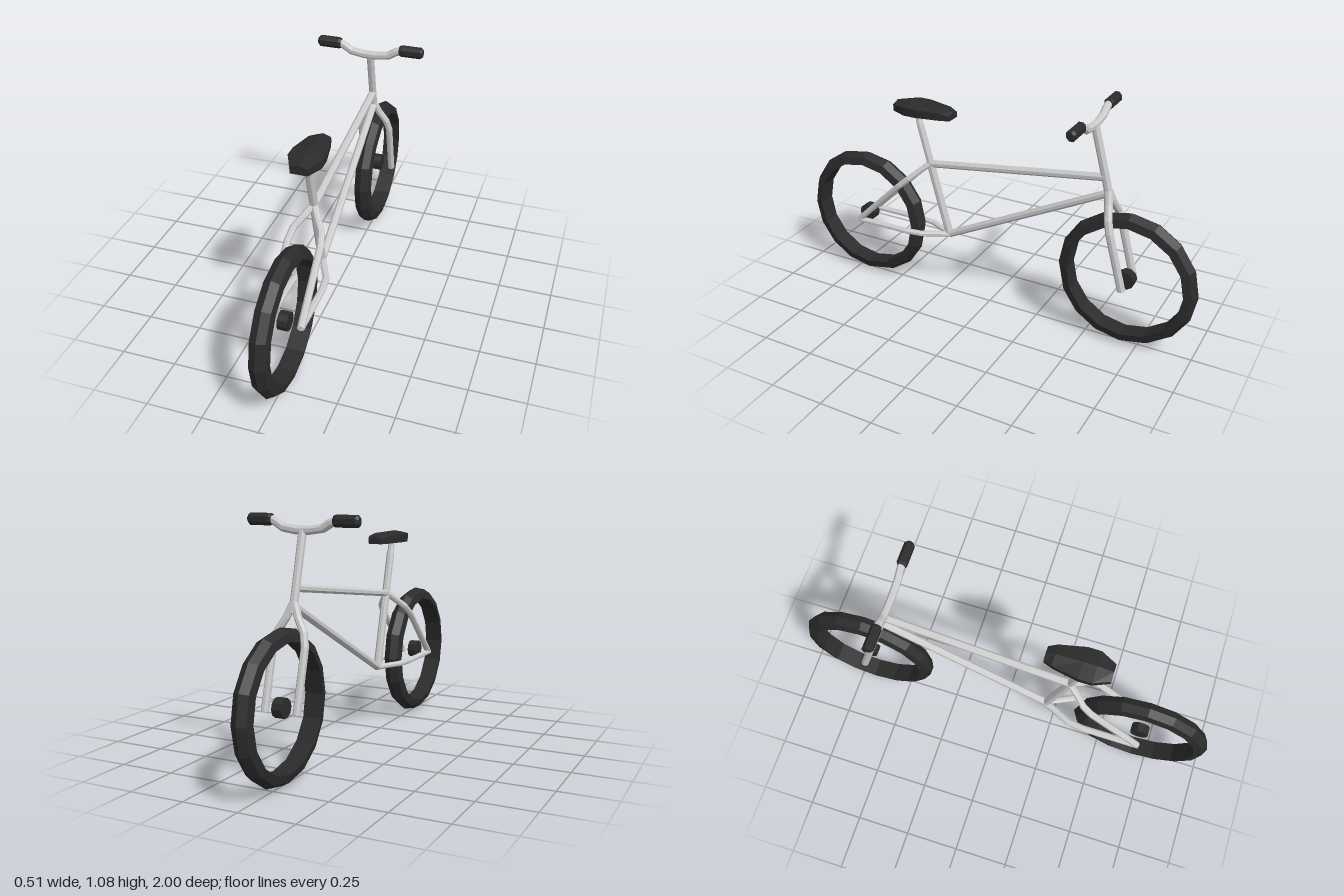
import * as THREE from 'three';

const metal = new THREE.MeshStandardMaterial({ color: 0xcccccc, flatShading: true });
const black = new THREE.MeshStandardMaterial({ color: 0x2b2b2b, flatShading: true });

// Skin a list of equal-length point rings and cap both ends
function loft(rings) {
  const n = rings[0].length, last = (rings.length - 1) * n, index = [];
  for (let i = 0; i < rings.length - 1; i++) {
    for (let j = 0; j < n; j++) {
      const a = i * n + j, b = i * n + (j + 1) % n;
      index.push(a, b, a + n, b, b + n, a + n);
    }
  }
  for (let j = 1; j < n - 1; j++) index.push(0, j + 1, j, last, last + j, last + j + 1);
  const geo = new THREE.BufferGeometry();
  geo.setAttribute('position', new THREE.Float32BufferAttribute(rings.flat().flatMap(p => p.toArray()), 3));
  geo.setIndex(index);
  geo.computeVertexNormals();
  return geo;
}

// Octagonal bar along a polyline; sizes are [half width, half depth], one per point or shared
function bar(points, sizes, ref = new THREE.Vector3(1, 0, 0)) {
  const pts = points.map(p => new THREE.Vector3(...p));
  return loft(pts.map((p, i) => {
    const t = new THREE.Vector3();
    if (i > 0) t.add(p.clone().sub(pts[i - 1]).normalize());
    if (i < pts.length - 1) t.add(pts[i + 1].clone().sub(p).normalize());
    t.normalize();
    const u = ref.clone().addScaledVector(t, -ref.dot(t)).normalize();
    const v = t.clone().cross(u);
    const [w, d] = Array.isArray(sizes[0]) ? sizes[i] : sizes;
    return Array.from({ length: 8 }, (_, k) => {
      const a = (k + 0.5) * Math.PI / 4, s = 1 / Math.cos(Math.PI / 8);
      return p.clone().addScaledVector(u, w * s * Math.cos(a)).addScaledVector(v, d * s * Math.sin(a));
    });
  }));
}

export function createModel() {
  const bike = new THREE.Group();
  const add = (name, geo, mat, parent = bike) => {
    const mesh = new THREE.Mesh(geo, mat);
    mesh.name = name;
    parent.add(mesh);
    return mesh;
  };

  // Wheels: crowned tyre ring and a separate hub
  const section = [[0.268, -0.043], [0.304, -0.034], [0.323, 0], [0.304, 0.034], [0.268, 0.043], [0.268, -0.043]];
  for (const [name, z] of [['frontWheel', -0.677], ['rearWheel', 0.677]]) {
    const wheel = new THREE.Group();
    wheel.name = name;
    wheel.position.set(0, 0.327, z);
    const tyre = new THREE.LatheGeometry(section.map(p => new THREE.Vector2(...p)), 16);
    add('tyre', tyre.rotateZ(Math.PI / 2), black, wheel);
    add('hub', new THREE.CylinderGeometry(0.042, 0.042, 0.044, 10).rotateZ(Math.PI / 2), black, wheel);
    bike.add(wheel);
  }

  // Main frame
  add('seatTube', bar([[0, 0.31, 0.215], [0, 0.67, 0.312]], [0.017, 0.018]), metal);
  add('seatPost', bar([[0, 0.66, 0.309], [0, 0.85, 0.36], [0, 0.88, 0.368], [0, 0.925, 0.38]],
    [[0.017, 0.016], [0.017, 0.015], [0.014, 0.013], [0.014, 0.013]]), metal);
  add('topTube', bar([[0, 0.665, 0.312], [0, 0.79, -0.552]], [0.017, 0.016]), metal);
  add('downTube', bar([[0, 0.318, 0.215], [0, 0.72, -0.57]], [0.017, 0.016]), metal);
  add('steerer', bar([[0, 0.69, -0.578], [0, 1.015, -0.492]], [0.016, 0.017]), metal);

  // Paired fork blades and rear stays
  for (const [side, s] of [['left', 1], ['right', -1]]) {
    add(side + 'ForkBlade', bar([[s * 0.004, 0.73, -0.568], [s * 0.026, 0.675, -0.582], [s * 0.06, 0.62, -0.597],
      [s * 0.073, 0.565, -0.612], [s * 0.073, 0.305, -0.682]], [0.015, 0.017]), metal);
    add(side + 'SeatStay', bar([[s * 0.004, 0.665, 0.312], [s * 0.028, 0.635, 0.35], [s * 0.062, 0.595, 0.395],
      [s * 0.073, 0.555, 0.44], [s * 0.073, 0.318, 0.684]], [0.015, 0.014]), metal);
    add(side + 'ChainStay', bar([[s * 0.004, 0.318, 0.215], [s * 0.028, 0.317, 0.27], [s * 0.062, 0.316, 0.34],
      [s * 0.073, 0.316, 0.42], [s * 0.073, 0.314, 0.69]], [0.015, 0.012]), metal);
  }

  // Handlebar with grips
  const zBar = -0.49, up = new THREE.Vector3(0, 1, 0);
  const half = [[0.03, 1.016], [0.09, 1.025], [0.125, 1.047], [0.15, 1.056], [0.18, 1.056]];
  const path = [...half.map(([x, y]) => [-x, y, zBar]).reverse(), ...half.map(([x, y]) => [x, y, zBar])];
  add('handlebar', bar(path, [0.018, 0.016], up), metal);
  for (const [side, s] of [['left', 1], ['right', -1]]) {
    add(side + 'Grip', bar([0.142, 0.152, 0.244, 0.255].map(x => [s * x, 1.056, zBar]),
      [[0.021, 0.018], [0.025, 0.022], [0.025, 0.022], [0.016, 0.014]], up), black);
  }

  // Saddle: narrow nose at the front, widest near the back, slightly ridged top
  const stations = [[0.185, 0.034, 0.946], [0.225, 0.05, 0.957], [0.345, 0.074, 0.963], [0.405, 0.074, 0.963], [0.478, 0.04, 0.954]];
  add('saddle', loft(stations.map(([z, w, top]) => [
    [w * 0.95, 0.911], [w, top - 0.012], [0, top], [-w, top - 0.012], [-w * 0.95, 0.911],
  ].map(([x, y]) => new THREE.Vector3(x, y, z)))), black);

  return bike;
}
